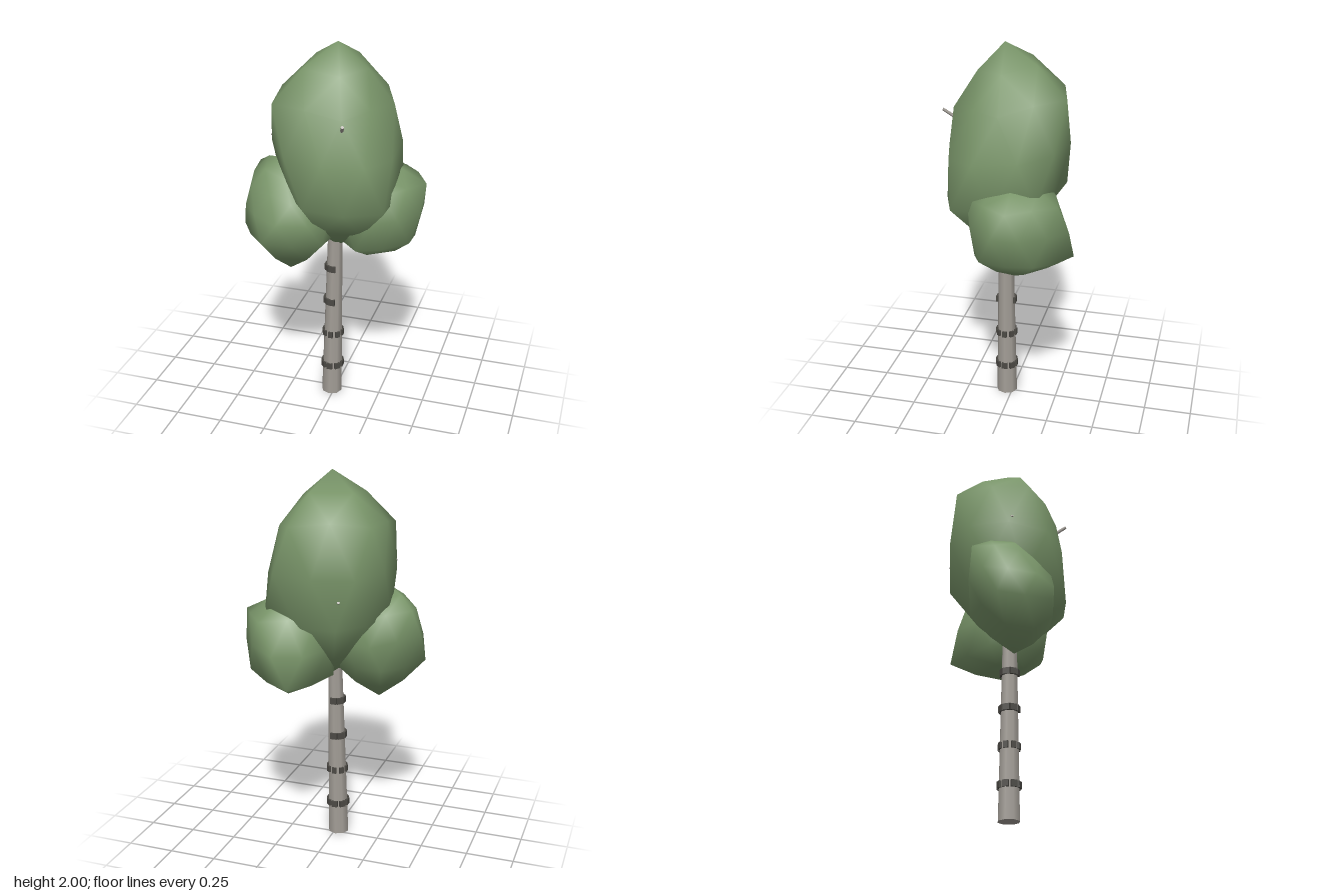
import * as THREE from 'three';
import { mergeVertices } from 'three/addons/utils/BufferGeometryUtils.js';

const V = (p) => new THREE.Vector3(...p);

// Twenty-sided blob from top, two five-point rings and bottom; each face is
// split in four with the edge middles pushed slightly outward.
function blobGeometry({ top, upper, lower, bottom }) {
  const t = V(top), b = V(bottom), U = upper.map(V), L = lower.map(V);
  const centre = [...U, ...L].reduce((s, p) => s.add(p), new THREE.Vector3()).divideScalar(10);
  const out = [];
  const mid = (p, q) => p.clone().add(q).multiplyScalar(0.5).sub(centre).multiplyScalar(1.06).add(centre);
  const face = (p, q, r) => {
    const pq = mid(p, q), qr = mid(q, r), rp = mid(r, p);
    for (const v of [p, pq, rp, pq, q, qr, rp, qr, r, pq, qr, rp]) out.push(v.x, v.y, v.z);
  };
  for (let i = 0; i < 5; i++) {
    const j = (i + 1) % 5;
    face(t, U[j], U[i]);
    face(U[i], U[j], L[i]);
    face(L[i], U[j], L[j]);
    face(L[i], L[j], b);
  }
  const raw = new THREE.BufferGeometry();
  raw.setAttribute('position', new THREE.Float32BufferAttribute(out, 3));
  const geo = mergeVertices(raw, 1e-4);
  geo.computeVertexNormals();
  return geo;
}

export function createModel() {
  const tree = new THREE.Group();
  tree.name = 'tree';
  const make = (name, color) => {
    const m = new THREE.MeshStandardMaterial({ color });
    m.name = name;
    return m;
  };
  const leaf = make('leafGreen', 0x7a966a);
  const bark = make('barkGrey', 0xa39e97);
  const mark = make('barkMarkDark', 0x4c4a45);
  const add = (name, geo, mat, parent = tree) => {
    const mesh = new THREE.Mesh(geo, mat);
    mesh.name = name;
    parent.add(mesh);
    return mesh;
  };

  // Foliage
  add('mainCrown', blobGeometry({
    top: [0.02, 2, 0.03],
    upper: [[0.3, 1.7, 0], [0.11, 1.68, 0.27], [-0.255, 1.72, 0.235], [-0.255, 1.76, -0.177], [0.13, 1.76, -0.303]],
    lower: [[0.315, 1.21, 0.24], [-0.07, 1.23, 0.345], [-0.3, 1.28, 0.02], [-0.1, 1.25, -0.27], [0.31, 1.26, -0.19]],
    bottom: [0.02, 0.91, 0.03],
  }), leaf);
  add('rightHandCluster', blobGeometry({
    top: [-0.25, 1.41, 0.13],
    upper: [[0, 1.23, 0.13], [-0.14, 1.23, 0.31], [-0.38, 1.27, 0.22], [-0.42, 1.32, -0.02], [-0.16, 1.25, -0.09]],
    lower: [[0, 1, 0.25], [-0.285, 1.02, 0.355], [-0.46, 1.02, 0.13], [-0.28, 1, -0.08], [0, 1, -0.01]],
    bottom: [-0.21, 0.79, 0.13],
  }), leaf);
  add('leftHandCluster', blobGeometry({
    top: [0.2, 1.37, -0.07],
    upper: [[0.46, 1.27, -0.07], [0.29, 1.27, 0.16], [0.02, 1.27, 0.08], [0.02, 1.27, -0.2], [0.3, 1.27, -0.3]],
    lower: [[0.41, 0.99, 0.07], [0.15, 0.95, 0.16], [-0.02, 0.95, -0.07], [0.13, 0.94, -0.355], [0.39, 0.98, -0.2]],
    bottom: [0.22, 0.84, -0.07],
  }), leaf);

  // Tapered, slightly leaning trunk
  const H = 1.3;
  const axisX = (y) => -0.015 + 0.021 * y;
  const radius = (y) => 0.057 - 0.018 * y;
  const trunk = new THREE.CylinderGeometry(radius(H), radius(0), H, 8, 1);
  trunk.translate(0, H / 2, 0);
  const pos = trunk.attributes.position;
  for (let i = 0; i < pos.count; i++) pos.setX(i, pos.getX(i) + axisX(pos.getY(i)));
  trunk.translate(0, 0, 0.032);
  add('trunk', trunk, bark);

  // Dark bark marks: spaced rings low down, half rings facing -x higher up
  const marks = new THREE.Group();
  marks.name = 'barkMarks';
  tree.add(marks);
  for (const [y, from, step, count, width] of [
    [0.18, 0, Math.PI / 4, 8, 0.031],
    [0.38, 0, Math.PI / 4, 8, 0.024],
    [0.58, Math.PI / 2, Math.PI / 4, 5, 0.036],
    [0.78, Math.PI / 2, Math.PI / 4, 5, 0.034],
  ]) {
    for (let i = 0; i < count; i++) {
      const a = from + i * step, r = radius(y);
      const m = add('barkMark', new THREE.BoxGeometry(0.014, 0.034, width), mark, marks);
      m.position.set(axisX(y) + r * Math.cos(a), y, 0.032 + r * Math.sin(a));
      m.rotation.y = -a;
    }
  }

  // Short twigs poking out of the crown
  for (const [a, b] of [
    [[0.1, 1.61, 0.24], [0.128, 1.67, 0.32]],
    [[-0.22, 1.5, 0.13], [-0.289, 1.54, 0.15]],
    [[-0.09, 1.35, -0.2], [-0.115, 1.4, -0.265]],
  ]) {
    const p = V(a), dir = V(b).sub(p);
    const twig = add('twig', new THREE.CylinderGeometry(0.008, 0.01, dir.length(), 6), bark);
    twig.position.copy(p).addScaledVector(dir, 0.5);
    twig.quaternion.setFromUnitVectors(new THREE.Vector3(0, 1, 0), dir.normalize());
  }
  return tree;
}
